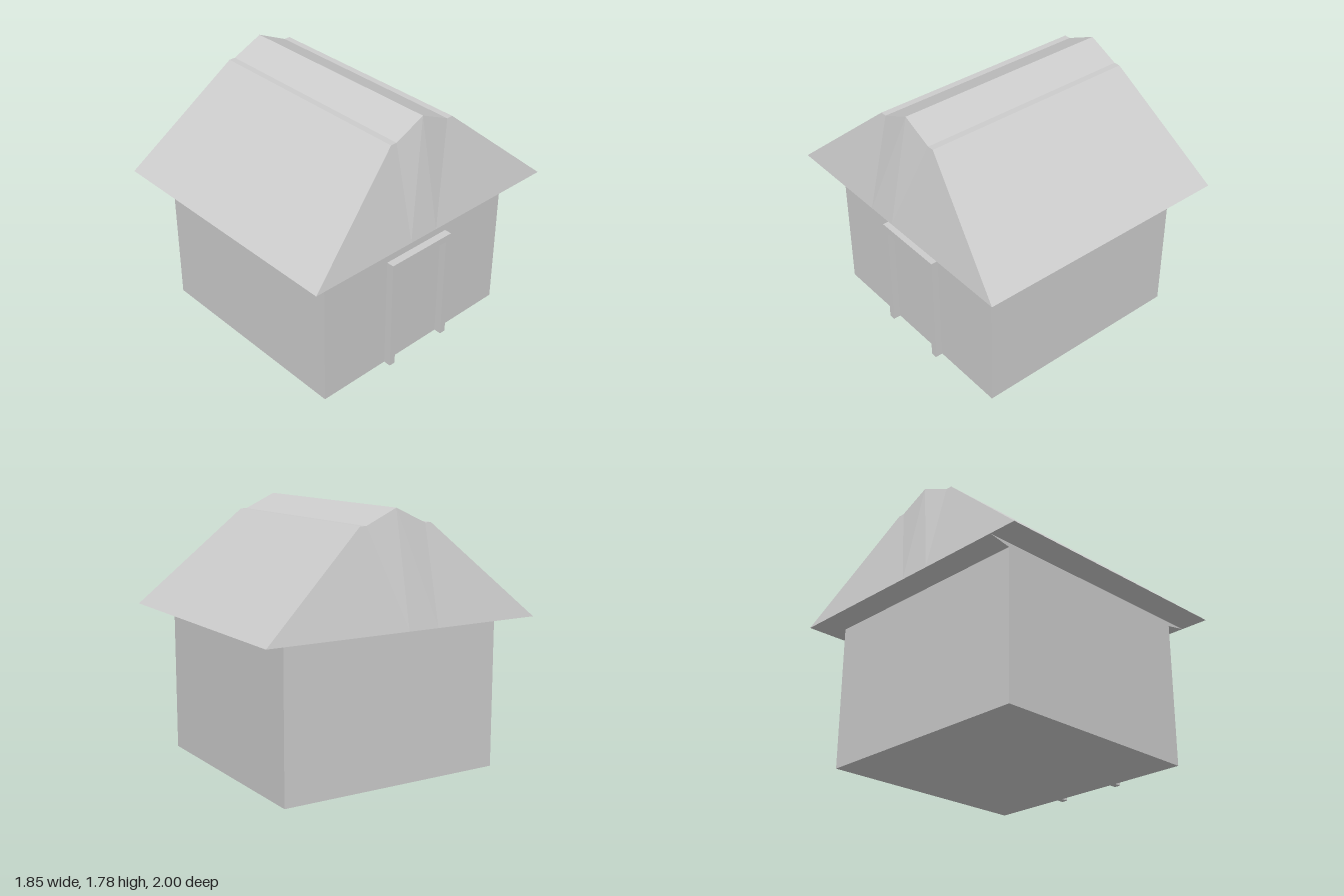
import * as THREE from 'three';

const grey = new THREE.MeshStandardMaterial({ color: 0xcccccc });
grey.name = 'plainGrey';

const EAVE_X = 0.925, EAVE_Y = 1.033, WALL_X = 0.77, WALL_Z = 0.8;

function mesh(name, geometry) {
  const m = new THREE.Mesh(geometry, grey);
  m.name = name;
  return m;
}

function outline(points) {
  return new THREE.Shape(points.map(([x, y]) => new THREE.Vector2(x, y)));
}

// Walls flare out under the gable eaves
function wallsGeometry() {
  const shape = outline([
    [-WALL_X, 0], [WALL_X, 0], [WALL_X, 1.004],
    [EAVE_X, EAVE_Y], [-EAVE_X, EAVE_Y], [-WALL_X, 1.004],
  ]);
  const g = new THREE.ExtrudeGeometry(shape, { depth: 2 * WALL_Z, bevelEnabled: false });
  return g.translate(0, 0, -WALL_Z);
}

// Roof from a stepped profile, with gable ends leaning inwards
function roofGeometry() {
  const half = [[1, EAVE_Y, EAVE_X], [0.265, 1.677, WALL_X], [0.22, 1.677, WALL_X]];
  const profile = [
    ...half,
    [0, 1.778, WALL_X],
    ...half.map(([z, y, x]) => [-z, y, x]).reverse(),
  ];
  const pos = [];
  const quad = (a, b, c, d) => pos.push(...a, ...b, ...c, ...a, ...c, ...d);
  const top = (i, s) => [s * profile[i][2], profile[i][1], profile[i][0]];
  const base = (i, s) => [s * EAVE_X, EAVE_Y, profile[i][0]];
  const last = profile.length - 1;
  for (let i = 0; i < last; i++) {
    quad(top(i, -1), top(i, 1), top(i + 1, 1), top(i + 1, -1));
    quad(base(i, 1), base(i + 1, 1), top(i + 1, 1), top(i, 1));
    quad(base(i, -1), top(i, -1), top(i + 1, -1), base(i + 1, -1));
  }
  // Underside
  quad(base(0, -1), base(last, -1), base(last, 1), base(0, 1));
  const g = new THREE.BufferGeometry();
  g.setAttribute('position', new THREE.Float32BufferAttribute(pos, 3));
  g.computeVertexNormals();
  return g;
}

// Door surround: two posts and a lintel, standing out from the wall
function doorFrameGeometry() {
  const shape = outline([
    [-0.267, 0], [-0.222, 0], [-0.222, 0.773], [0.222, 0.773],
    [0.222, 0], [0.267, 0], [0.267, 0.822], [-0.267, 0.822],
  ]);
  const g = new THREE.ExtrudeGeometry(shape, { depth: 0.053, bevelEnabled: false });
  return g.rotateY(Math.PI / 2).translate(WALL_X, 0, 0);
}

export function createModel() {
  const house = new THREE.Group();
  house.name = 'house';
  house.add(
    mesh('walls', wallsGeometry()),
    mesh('roof', roofGeometry()),
    mesh('doorFrame', doorFrameGeometry()),
  );
  return house;
}
